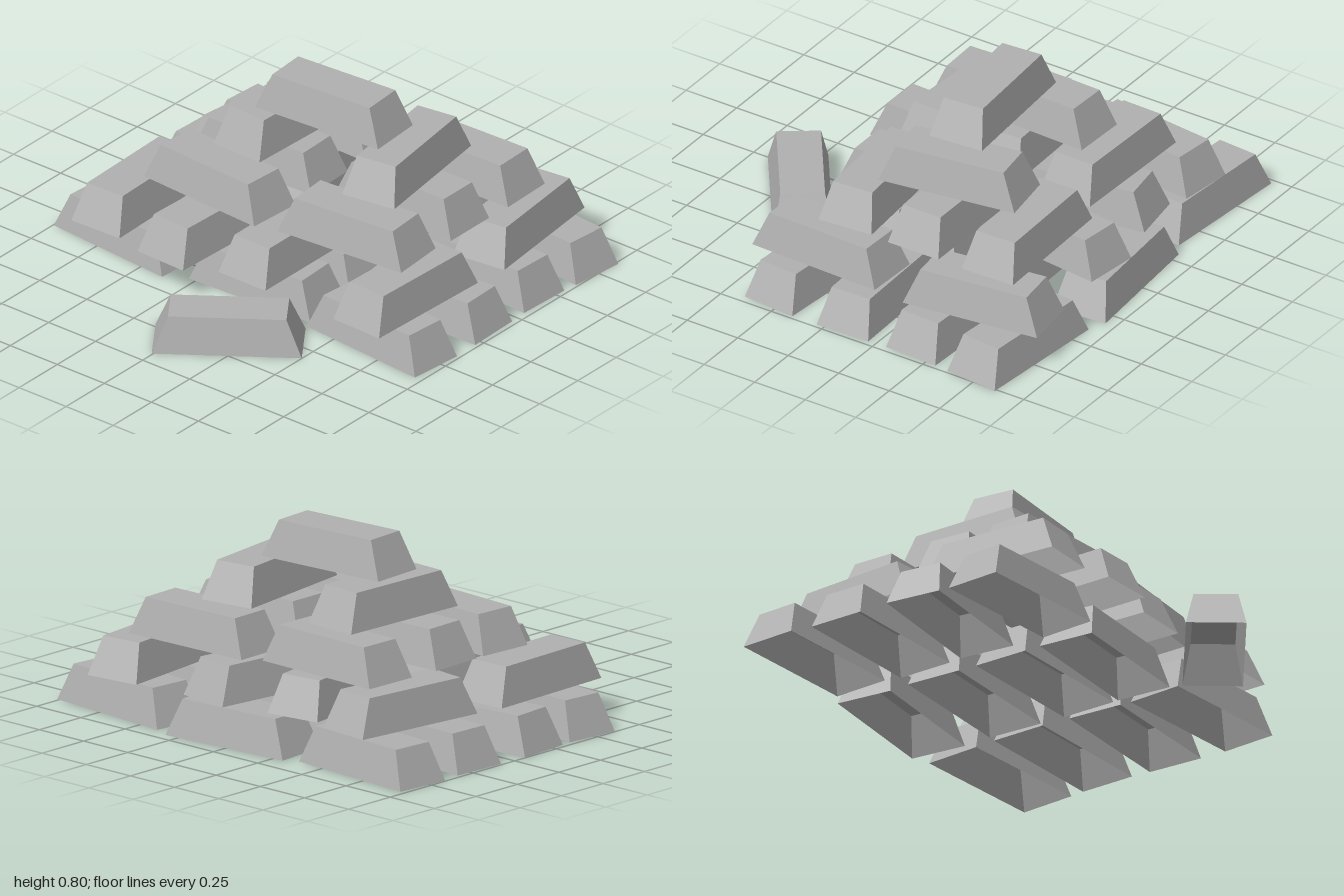
import * as THREE from 'three';

const LENGTH = 0.62, WIDTH = 0.25, HEIGHT = 0.16;
const TOP_LENGTH = 0.49, TOP_WIDTH = 0.185;

// Hollow tapered ingot standing on y = 0, long axis on x, open underneath
function ingotGeometry() {
  const geo = new THREE.BoxGeometry(LENGTH, HEIGHT, WIDTH).translate(0, HEIGHT / 2, 0);
  const pos = geo.attributes.position;
  for (let i = 0; i < pos.count; i++) {
    if (pos.getY(i) < HEIGHT / 2) continue;
    pos.setX(i, Math.sign(pos.getX(i)) * TOP_LENGTH / 2);
    pos.setZ(i, Math.sign(pos.getZ(i)) * TOP_WIDTH / 2);
  }
  // Leave out the bottom face
  const index = Array.from(geo.index.array);
  index.splice(18, 6);
  geo.setIndex(index);
  geo.clearGroups();
  geo.computeVertexNormals();
  return geo;
}

// Each layer: bars as [x, z, small turn]; alternate layers run along z
const LAYERS = [
  { name: 'bottomLayer', alongZ: false, bars: [
    [-0.677, -0.765, -0.077], [-0.676, -0.435, -0.04], [-0.68, -0.087, 0.08], [-0.677, 0.258, -0.085],
    [0.018, -0.803, 0.077], [0.02, -0.44, 0.02], [0.02, -0.09, -0.03], [0.02, 0.21, 0.05],
    [0.692, -0.767, -0.09], [0.666, -0.437, -0.04], [0.67, -0.08, 0.03], [0.665, 0.254, -0.085],
  ] },
  { name: 'secondLayer', alongZ: true, bars: [
    [-0.625, -0.539, -0.114], [-0.673, 0.183, 0.03], [-0.227, -0.509, 0.15], [-0.277, 0.219, -0.04],
    [0.132, -0.575, -0.12], [0.08, 0.139, 0], [0.698, -0.6, 0.12], [0.706, 0.149, -0.035],
  ] },
  { name: 'thirdLayer', alongZ: false, bars: [
    [-0.289, -0.562, -0.025], [-0.293, -0.189, 0.03], [-0.294, 0.136, -0.065],
    [0.404, -0.62, 0.03], [0.403, -0.262, 0], [0.404, 0.099, 0.078],
  ] },
  { name: 'fourthLayer', alongZ: true, bars: [[-0.249, -0.243, -0.035], [0.374, -0.265, 0.147]] },
  { name: 'topLayer', alongZ: false, bars: [[0.035, -0.206, 0.07]] },
];

export function createModel() {
  const model = new THREE.Group();
  model.name = 'ingotPile';
  const metal = new THREE.MeshStandardMaterial({ color: 0xb0b0b0, side: THREE.DoubleSide });
  metal.name = 'grey metal';
  const geo = ingotGeometry();

  const addIngot = (parent, name, x, y, z, turn) => {
    const mesh = new THREE.Mesh(geo, metal);
    mesh.name = name;
    mesh.position.set(x, y, z);
    mesh.rotation.y = turn;
    parent.add(mesh);
  };

  // Stacked pile
  LAYERS.forEach(({ name, alongZ, bars }, level) => {
    const layer = new THREE.Group();
    layer.name = name;
    bars.forEach(([x, z, turn], i) =>
      addIngot(layer, `ingot${i + 1}`, x, level * HEIGHT, z, turn + (alongZ ? Math.PI / 2 : 0)));
    model.add(layer);
  });

  // Single bar lying in front
  addIngot(model, 'looseIngot', 0.174, 0, 0.652, 0.62);
  return model;
}
